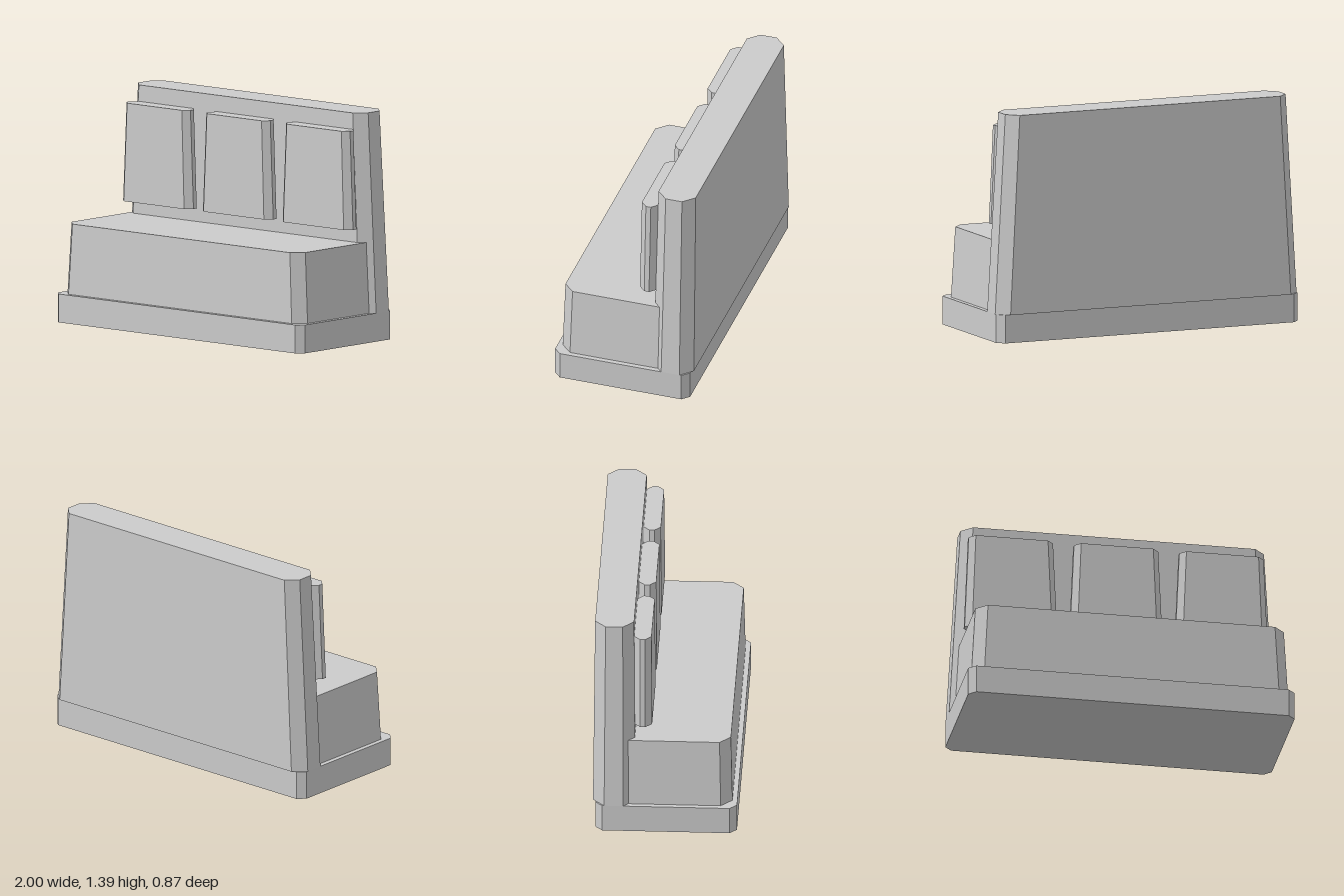
import * as THREE from 'three';

// Eight-sided outline: a rectangle with chamfered corners at height y
function ring(y, x0, x1, z0, z1, c) {
  return [
    [x1, z0 + c], [x1, z1 - c], [x1 - c, z1], [x0 + c, z1],
    [x0, z1 - c], [x0, z0 + c], [x0 + c, z0], [x1 - c, z0],
  ].map(([x, z]) => new THREE.Vector3(x, y, z));
}

// Closed tapered block between two outlines
function block(name, material, bottom, top) {
  const pts = [];
  const n = bottom.length;
  for (let i = 0; i < n; i++) {
    const j = (i + 1) % n;
    pts.push(bottom[i], top[i], bottom[j], bottom[j], top[i], top[j]);
    if (i > 0 && i < n - 1) {
      pts.push(top[0], top[j], top[i], bottom[0], bottom[i], bottom[j]);
    }
  }
  const geometry = new THREE.BufferGeometry().setFromPoints(pts);
  geometry.computeVertexNormals();
  const mesh = new THREE.Mesh(geometry, material);
  mesh.name = name;
  return mesh;
}

export function createModel() {
  const group = new THREE.Group();
  group.name = 'bench';
  const grey = new THREE.MeshStandardMaterial({ color: 0xcccccc });
  grey.name = 'light grey';

  // Plinth
  group.add(block('base', grey,
    ring(0, -1, 1, -0.42, 0.435, 0.043),
    ring(0.173, -1, 1, -0.42, 0.435, 0.043)));

  // Seat, running back into the backrest
  group.add(block('seat', grey,
    ring(0.173, -0.97, 0.97, -0.37, 0.405, 0.068),
    ring(0.602, -0.945, 0.945, -0.36, 0.395, 0.066)));

  // Tall backrest, overhanging the plinth slightly at the rear
  group.add(block('backrest', grey,
    ring(0.173, -1, 1, -0.435, -0.18, 0.07),
    ring(1.387, -0.93, 0.93, -0.425, -0.19, 0.066)));

  // Three back cushions
  [['rightCushion', -0.645], ['middleCushion', 0], ['leftCushion', 0.645]].forEach(([name, x]) => {
    group.add(block(name, grey,
      ring(0.688, x - 0.284, x + 0.284, -0.19, -0.08, 0.04),
      ring(1.287, x - 0.258, x + 0.258, -0.19, -0.085, 0.037)));
  });

  return group;
}
